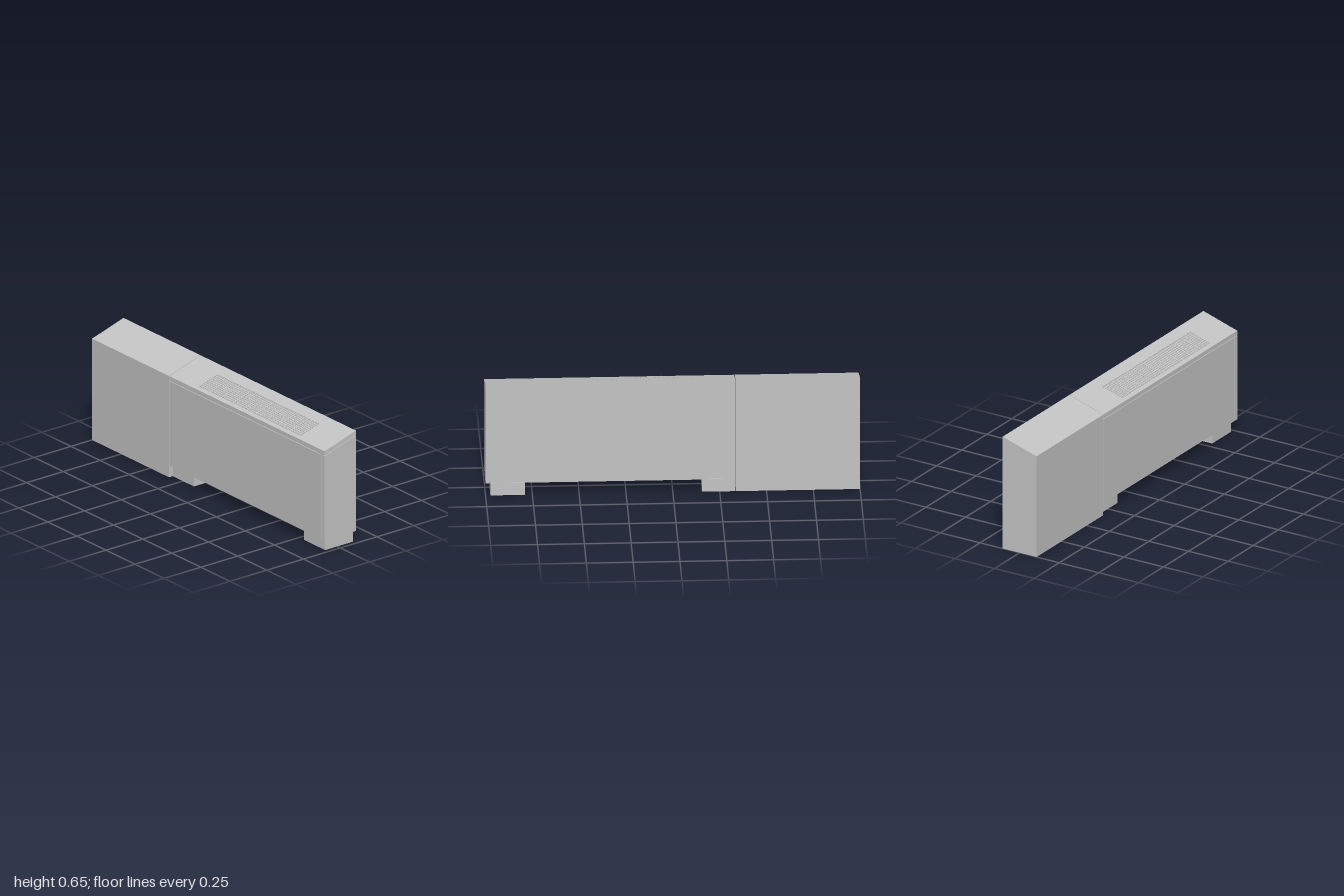
import * as THREE from 'three';
import { mergeGeometries } from 'three/addons/utils/BufferGeometryUtils.js';

const FRONT = 0.107, BACK = -0.107;
const SLOPE = 0.065 / 0.214;          // the top rises towards the back
const topAt = (z) => 0.6175 - SLOPE * z;

export function createModel() {
  const model = new THREE.Group();
  model.name = 'convectorCabinet';
  const grey = new THREE.MeshStandardMaterial({ color: 0xc4c4c4 });
  grey.name = 'light grey';

  const add = (name, geometry) => {
    const mesh = new THREE.Mesh(geometry, grey);
    mesh.name = name;
    model.add(mesh);
    return mesh;
  };

  // Slope-topped block running along x; drop is the distance below the sloping top
  const prism = (x0, x1, y0, z0, z1, drop) => {
    const shape = new THREE.Shape([
      new THREE.Vector2(-z1, y0), new THREE.Vector2(-z0, y0),
      new THREE.Vector2(-z0, topAt(z0) - drop), new THREE.Vector2(-z1, topAt(z1) - drop),
    ]);
    return new THREE.ExtrudeGeometry(shape, { depth: x1 - x0, bevelEnabled: false })
      .rotateY(Math.PI / 2).translate(x0, 0, 0);
  };

  // Rectangle outline in plan (x, -z)
  const rect = (Type, x0, x1, z0, z1) => new Type([
    new THREE.Vector2(x0, -z1), new THREE.Vector2(x1, -z1),
    new THREE.Vector2(x1, -z0), new THREE.Vector2(x0, -z0),
  ]);
  const slab = (shape, y0, height) =>
    new THREE.ExtrudeGeometry(shape, { depth: height, bevelEnabled: false })
      .rotateX(-Math.PI / 2).translate(0, y0, 0);

  // Tall end cabinet reaching the floor
  add('endCabinet', prism(-1, -0.338, 0, BACK, FRONT, 0));

  // Main cabinet: inset core with thin panels around it
  add('cabinetCore', prism(-0.334, 0.99, 0.074, BACK + 0.008, FRONT - 0.008, 0.026));
  add('frontPanel', prism(-0.334, 0.974, 0.07, FRONT - 0.01, FRONT, 0.028));
  add('backPanel', prism(-0.328, 0.974, 0.07, BACK + 0.003, BACK + 0.012, 0.034));
  add('sidePanel', prism(0.979, 1, 0.07, BACK, FRONT, 0.028));

  // Sloping lid, made level and then sheared to the slope
  const shear = new THREE.Matrix4().set(
    1, 0, 0, 0,
    0, 1, -SLOPE, 0.6175,
    0, 0, 1, 0,
    0, 0, 0, 1);
  const lid = rect(THREE.Shape, -0.334, 1, BACK, FRONT);
  const bars = [];
  const G0 = -0.042, G1 = 0.084, PITCH = 0.0983, WIDTH = 0.09;
  const COLUMNS = 7, ROWS = 10;
  for (let i = 0; i < 9; i++) {
    const x0 = -0.11 + i * PITCH;
    lid.holes.push(rect(THREE.Path, x0, x0 + WIDTH, G0, G1));
    // Crossed grille bars over each opening
    for (let c = 1; c < COLUMNS; c++) {
      bars.push(new THREE.BoxGeometry(0.005, 0.006, G1 - G0)
        .translate(x0 + WIDTH * c / COLUMNS, -0.0035, (G0 + G1) / 2));
    }
    for (let r = 1; r < ROWS; r++) {
      bars.push(new THREE.BoxGeometry(WIDTH, 0.006, 0.005)
        .translate(x0 + WIDTH / 2, -0.0036, G0 + (G1 - G0) * r / ROWS));
    }
  }
  const bake = (geometry) => {
    geometry.applyMatrix4(shear);
    geometry.computeVertexNormals();
    return geometry;
  };
  add('lid', bake(slab(lid, -0.012, 0.012)));
  add('lidBase', bake(slab(rect(THREE.Shape, -0.334, 1, BACK, FRONT), -0.025, 0.013)));
  add('grilleBars', bake(mergeGeometries(bars)));

  // Hollow, open-bottomed feet
  for (const [name, x0, x1] of [['innerFoot', -0.334, -0.155], ['outerFoot', 0.79, 0.974]]) {
    const foot = rect(THREE.Shape, x0, x1, BACK, 0.082);
    foot.holes.push(rect(THREE.Path, x0 + 0.006, x1 - 0.006, BACK + 0.006, 0.076));
    add(name, slab(foot, 0, 0.074));
  }
  return model;
}
